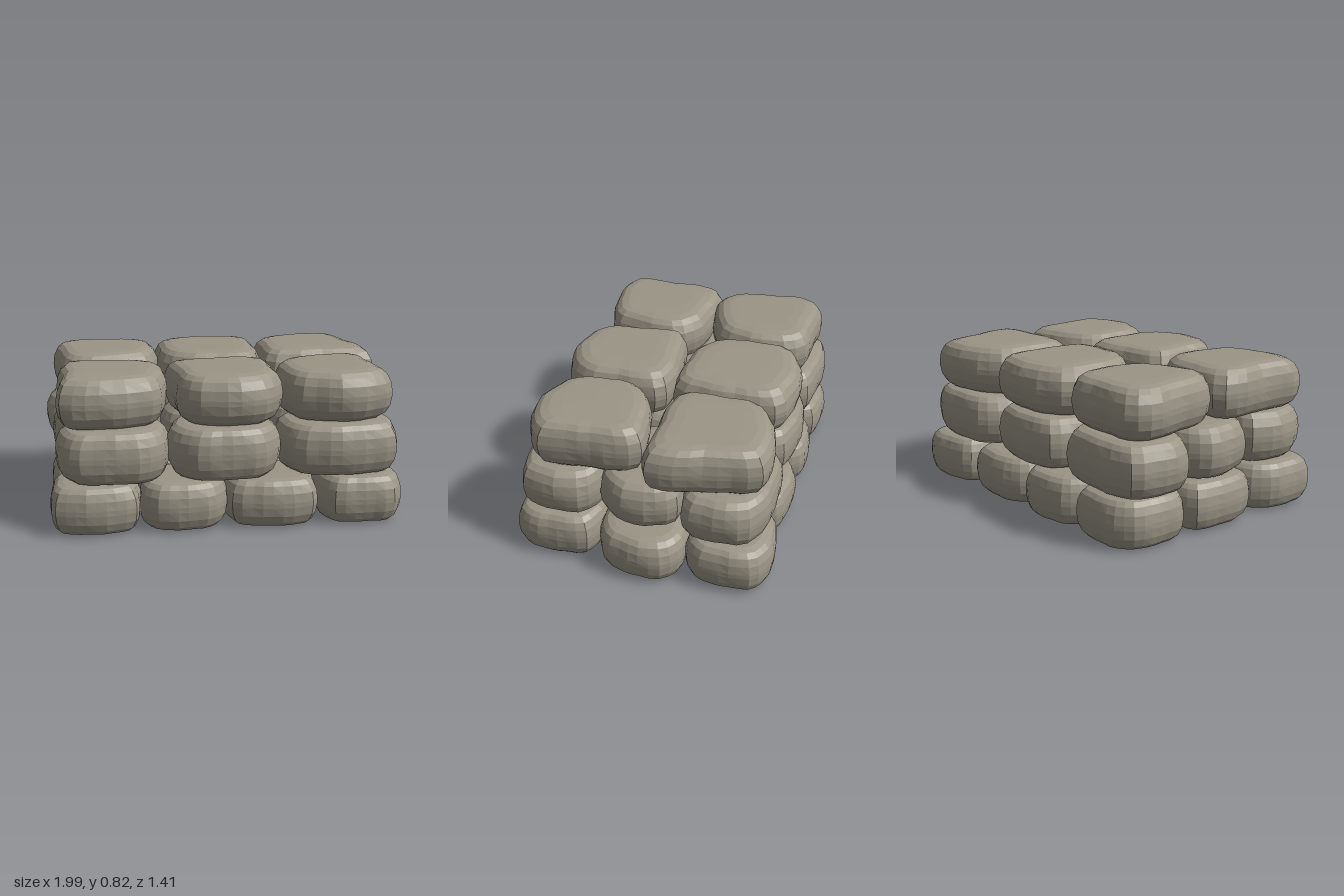
import * as THREE from 'three';

const SIDES = 30;
// half profile of one stone: flat crown, soft shoulder, bulging waist
const HALF = [[1, 0.1], [0.975, 0.46], [0.91, 0.76], [0.82, 0.92], [0.69, 0.985], [0.5, 1], [0, 1]];
const PROFILE = [
  ...HALF.slice().reverse().map(([r, y]) => new THREE.Vector2(r, -y)),
  ...HALF.map(([r, y]) => new THREE.Vector2(r, y)),
];

function seeded(seed) {
  let s = seed;
  return () => {
    s = (s * 16807) % 2147483647;
    return s / 2147483647;
  };
}

// outline = eight [x, z] points: back-left, back, back-right, right, front-right, front, front-left, left
function stoneGeometry(outline, y0, y1, rand) {
  const curve = new THREE.CatmullRomCurve3(outline.map(([x, z]) => new THREE.Vector3(x, 0, z)), true);
  const edge = curve.getSpacedPoints(SIDES).reverse();
  const centre = new THREE.Vector3();
  for (const [x, z] of outline) centre.add(new THREE.Vector3(x / 8, 0, z / 8));
  const phase = rand() * 6.28;

  const geo = new THREE.LatheGeometry(PROFILE, SIDES);
  const pos = geo.attributes.position;
  for (let i = 0; i < pos.count; i++) {
    const column = Math.floor(i / PROFILE.length);
    const { x: r, y } = PROFILE[i % PROFILE.length];
    const a = (column / SIDES) * Math.PI * 2;
    // shallow dents running down the sides
    const f = r * (1 + 0.014 * Math.sin(7 * a + phase + 0.8 * y) + 0.012 * Math.sin(11 * a + phase - y));
    pos.setXYZ(
      i,
      centre.x + (edge[column].x - centre.x) * f,
      (y0 + y1) / 2 + (y * (y1 - y0)) / 2,
      centre.z + (edge[column].z - centre.z) * f,
    );
  }
  const faceted = geo.toNonIndexed();
  faceted.computeVertexNormals();
  return faceted;
}

// uneven rounded block filling a rectangle
function blockOutline(x0, x1, z0, z1, rand) {
  const corner = () => 0.7 + rand() * 0.17;
  const along = () => (rand() - 0.5) * 0.5;
  const side = () => 0.95 + rand() * 0.05;
  return [
    [-corner(), -corner()], [along(), -side()], [corner(), -corner()], [side(), along()],
    [corner(), corner()], [along(), side()], [-corner(), corner()], [-side(), along()],
  ].map(([u, v]) => [(x0 + x1 + u * (x1 - x0)) / 2, (z0 + z1 + v * (z1 - z0)) / 2]);
}

export function createModel() {
  const model = new THREE.Group();
  model.name = 'stackedStones';
  const stone = new THREE.MeshStandardMaterial({ color: 0x9b9586 });
  stone.name = 'stone';
  const rand = seeded(4711);

  function addStone(parent, name, outline, y0, y1) {
    const mesh = new THREE.Mesh(stoneGeometry(outline, y0, y1, rand), stone);
    mesh.name = name;
    parent.add(mesh);
  }
  function addLayer(name) {
    const layer = new THREE.Group();
    layer.name = name;
    model.add(layer);
    return layer;
  }

  // lower two courses: inner joints in x, row joints in z, and the ends of each row from back to front
  const courses = [
    {
      name: 'bottomCourse', y: [0, 0.267], joints: [-0.49, -0.03, 0.46], z: [-0.705, -0.25, 0.23, 0.705],
      ends: [[-0.95, 0.95], [-0.96, 1], [-0.98, 0.93]],
    },
    {
      name: 'middleCourse', y: [0.262, 0.55], joints: [-0.33, 0.26], z: [-0.68, -0.22, 0.23, 0.69],
      ends: [[-1, 0.94], [-0.95, 0.91], [-0.94, 0.92]],
    },
  ];
  for (const { name, y, joints, z, ends } of courses) {
    const layer = addLayer(name);
    ends.forEach(([left, right], j) => {
      const x = [left, ...joints, right];
      for (let i = 0; i < x.length - 1; i++) {
        const x0 = x[i] - (i ? 0.015 : 0);
        const x1 = x[i + 1] + (i < x.length - 2 ? 0.015 : 0);
        addStone(layer, `${name}Stone`, blockOutline(x0, x1, z[j] - (j ? 0.012 : 0), z[j + 1] + (j < 2 ? 0.012 : 0), rand), ...y);
      }
    });
  }

  // top course: six larger slabs
  const top = addLayer('topCourse');
  const slabs = [
    [[-0.91, -0.6], [-0.64, -0.63], [-0.37, -0.58], [-0.32, -0.35], [-0.37, -0.13], [-0.64, 0], [-0.83, -0.02], [-0.91, -0.3]],
    [[-0.29, -0.58], [0, -0.66], [0.25, -0.59], [0.28, -0.3], [0.23, -0.02], [0.03, 0.01], [-0.26, -0.07], [-0.33, -0.3]],
    [[0.31, -0.54], [0.56, -0.65], [0.79, -0.64], [0.88, -0.35], [0.93, -0.07], [0.62, -0.03], [0.31, -0.06], [0.28, -0.28]],
    [[-0.89, 0.02], [-0.6, 0], [-0.35, 0.09], [-0.33, 0.35], [-0.41, 0.56], [-0.69, 0.63], [-0.89, 0.6], [-0.9, 0.3]],
    [[-0.32, 0.1], [-0.05, 0.03], [0.24, 0.04], [0.28, 0.27], [0.24, 0.56], [-0.02, 0.66], [-0.26, 0.55], [-0.29, 0.32]],
    [[0.32, 0.13], [0.56, 0.02], [0.8, 0.02], [0.84, 0.27], [0.85, 0.55], [0.63, 0.65], [0.35, 0.56], [0.28, 0.35]],
  ];
  for (const outline of slabs) addStone(top, 'topSlab', outline, 0.542, 0.822);
  return model;
}
